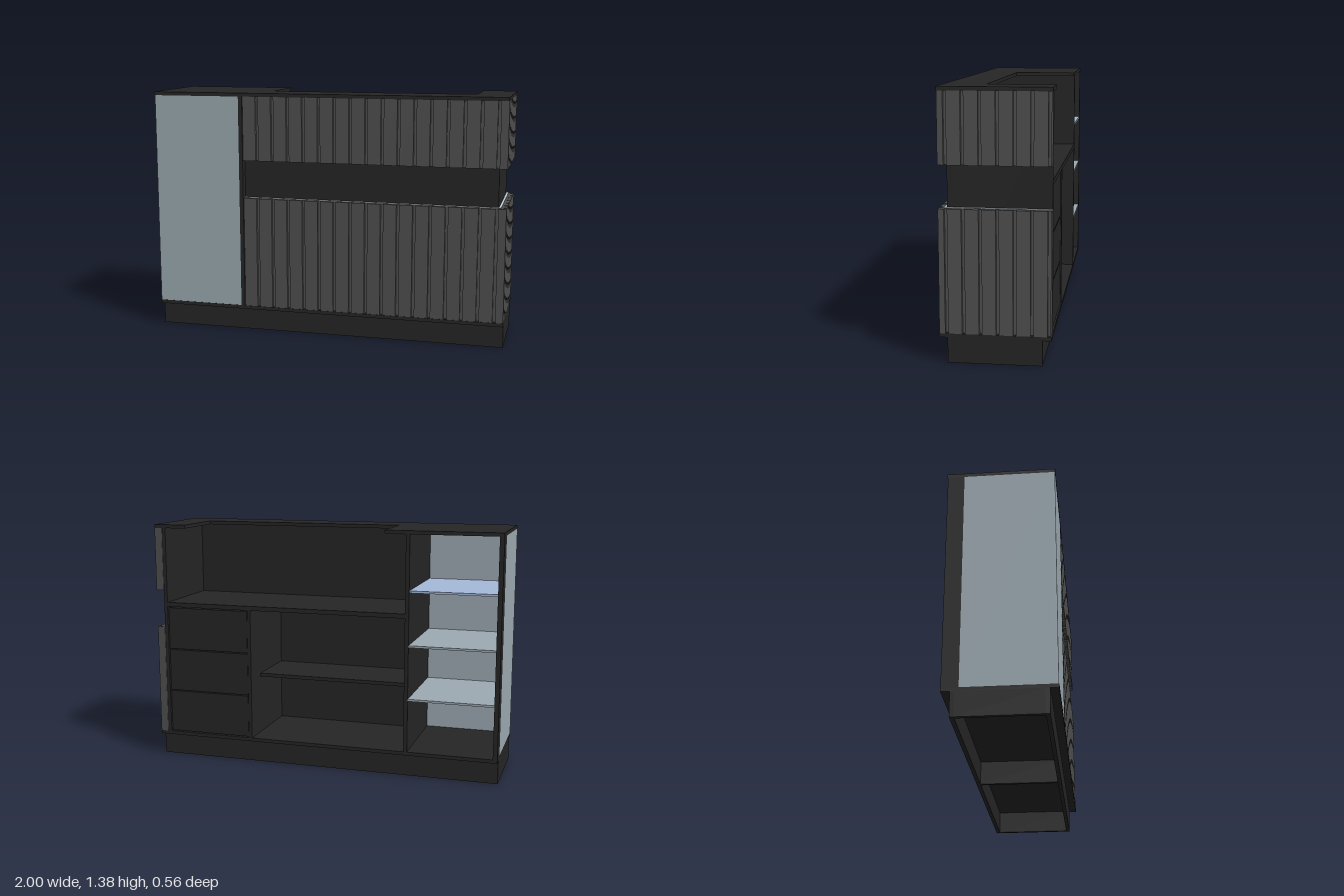
import * as THREE from 'three';

export function createModel() {
  const model = new THREE.Group();
  model.name = 'receptionCounter';

  const mat = (name, color) => {
    const m = new THREE.MeshStandardMaterial({ color });
    m.name = name;
    return m;
  };
  const dark = mat('charcoal board', 0x252525);
  const slatGrey = mat('slat grey', 0x505050);
  const glass = mat('grey blue glass', 0x9caab2);
  const blueGlass = mat('blue shelf glass', 0xa4b8d8);
  const light = mat('pale light strip', 0xc9d3da);

  const group = (name) => {
    const g = new THREE.Group();
    g.name = name;
    model.add(g);
    return g;
  };
  // Box given by its limits on each axis
  const box = (parent, name, material, x0, x1, y0, y1, z0, z1) => {
    const mesh = new THREE.Mesh(new THREE.BoxGeometry(x1 - x0, y1 - y0, z1 - z0), material);
    mesh.position.set((x0 + x1) / 2, (y0 + y1) / 2, (z0 + z1) / 2);
    mesh.name = name;
    parent.add(mesh);
    return mesh;
  };

  // Plinth: open frame with a middle cross board
  const plinth = group('plinth');
  box(plinth, 'plinthFront', dark, -1, 1, 0, 0.13, 0.22, 0.242);
  box(plinth, 'plinthBack', dark, -1, 1, 0, 0.13, -0.232, -0.21);
  for (const x of [-1, -0.01, 0.98]) box(plinth, 'plinthCrossBoard', dark, x, x + 0.02, 0, 0.13, -0.21, 0.22);

  // Base board and U-shaped top with a cutout for the clerk
  box(model, 'baseBoard', dark, -1, 1, 0.13, 0.15, -0.277, 0.285);
  const u = [[-1, 0.285], [1, 0.285], [1, -0.28], [0.81, -0.28], [0.81, 0.07], [-0.36, 0.07], [-0.36, -0.28], [-1, -0.28]];
  const topShape = new THREE.Shape(u.map(([x, z]) => new THREE.Vector2(x, -z)));
  const topGeo = new THREE.ExtrudeGeometry(topShape, { depth: 0.02, bevelEnabled: false });
  topGeo.rotateX(-Math.PI / 2);
  const top = new THREE.Mesh(topGeo, dark);
  top.position.y = 1.355;
  top.name = 'topBoard';
  model.add(top);

  // Carcass panels
  const carcass = group('carcass');
  box(carcass, 'frontPanel', dark, -0.48, 0.955, 0.15, 1.355, 0.225, 0.245);
  box(carcass, 'sidePanel', dark, 0.935, 0.955, 0.15, 1.355, -0.277, 0.225);
  box(carcass, 'cabinetDivider', dark, -0.5, -0.478, 0.15, 1.355, -0.277, 0.285);
  box(carcass, 'drawerDivider', dark, 0.42, 0.44, 0.15, 0.9, -0.277, 0.225);
  box(carcass, 'worktop', dark, -0.478, 0.935, 0.9, 0.925, -0.277, 0.225);
  box(carcass, 'innerShelf', dark, -0.478, 0.42, 0.485, 0.505, -0.13, 0.225);

  // Drawers
  const drawers = group('drawers');
  for (let i = 0; i < 3; i++) {
    const y = 0.155 + i * 0.248;
    box(drawers, 'drawer', dark, 0.444, 0.931, y, y + 0.242, -0.27, 0.2);
  }

  // Glass display cabinet
  const cabinet = group('displayCabinet');
  box(cabinet, 'frontGlass', glass, -1, -0.5, 0.15, 1.355, 0.273, 0.283);
  box(cabinet, 'sideGlass', glass, -1, -0.99, 0.15, 1.355, -0.19, 0.273);
  box(cabinet, 'backPost', dark, -1, -0.975, 0.15, 1.355, -0.277, -0.19);
  [0.44, 0.74, 1.04].forEach((y, i) =>
    box(cabinet, 'glassShelf', i === 2 ? blueGlass : glass, -0.989, -0.5, y, y + 0.012, -0.275, 0.273));

  // Slatted cladding in two bands wrapping the front and side
  const cladding = (name, y0, y1) => {
    const g = group(name);
    box(g, 'frontBacking', slatGrey, -0.478, 0.98, y0, y1, 0.245, 0.265);
    box(g, 'sideBacking', slatGrey, 0.955, 0.98, y0, y1, -0.28, 0.245);
    for (let i = 0; i < 16; i++) {
      const x = -0.475 + i * 0.0895;
      box(g, 'frontSlat', slatGrey, x, x + 0.074, y0, y1, 0.265, 0.283);
    }
    for (let i = 0; i < 6; i++) {
      const z = 0.238 - i * 0.085;
      box(g, 'sideSlat', slatGrey, 0.98, 1, y0, y1, z - 0.07, z);
    }
    box(g, 'endSlat', slatGrey, 0.98, 1, y0, y1, -0.28, -0.272);
    box(g, 'cornerSlat', slatGrey, 0.957, 1, y0, y1, 0.253, 0.283);
  };
  cladding('lowerCladding', 0.15, 0.78);
  cladding('upperCladding', 0.995, 1.355);

  // Light strip lying on the lower cladding
  const strip = group('lightStrip');
  box(strip, 'frontStrip', light, -0.478, 0.97, 0.78, 0.783, 0.246, 0.258);
  box(strip, 'sideStrip', light, 0.957, 0.97, 0.78, 0.783, -0.277, 0.246);

  return model;
}
